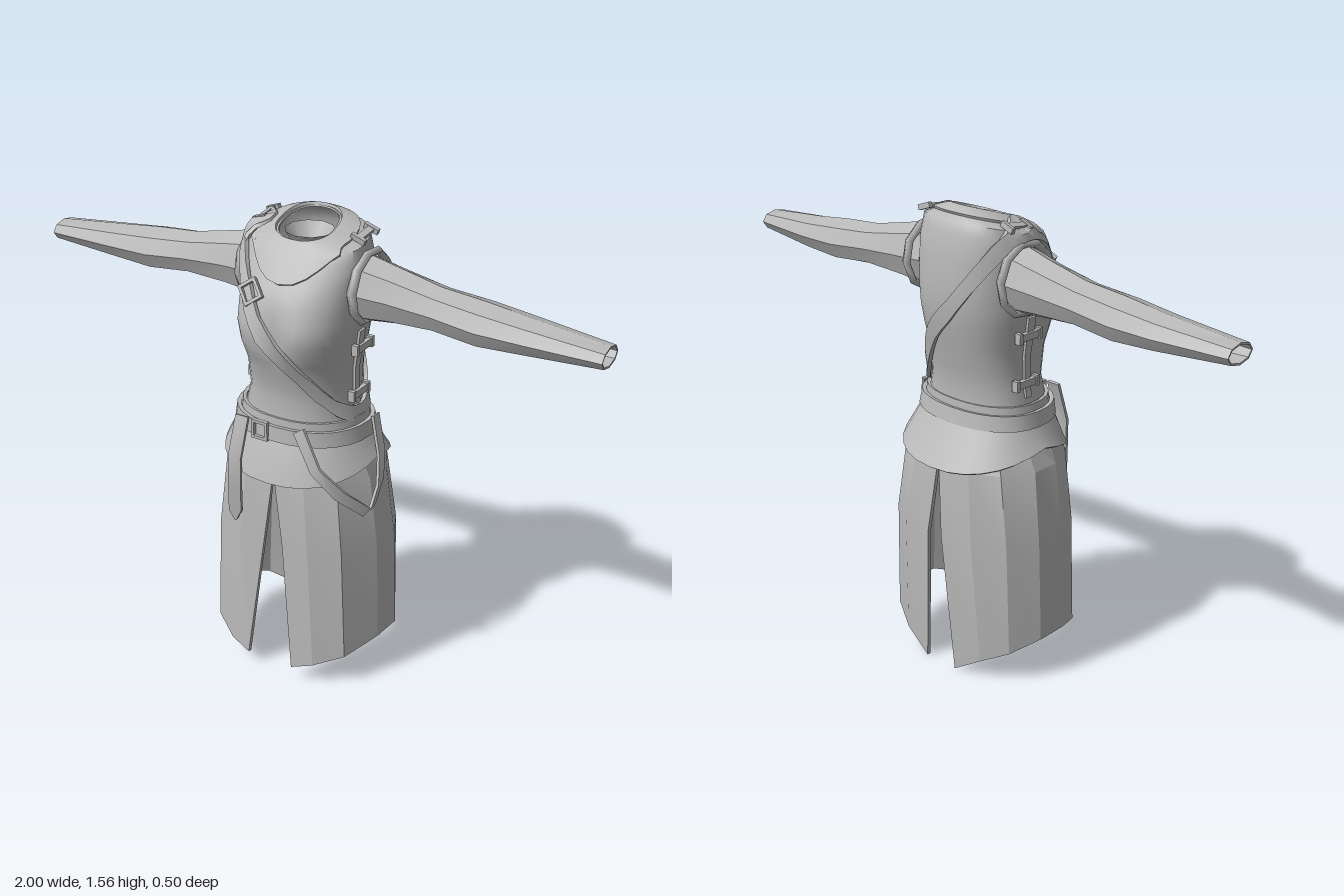
import * as THREE from 'three';
import { toCreasedNormals } from 'three/addons/utils/BufferGeometryUtils.js';

const cloth = new THREE.MeshStandardMaterial({ color: 0xb8b8b8, side: THREE.DoubleSide });
cloth.name = 'grey cloth';
const V = (x, y, z) => new THREE.Vector3(x, y, z);
const TAU = Math.PI * 2;
const spow = (v, p) => Math.sign(v) * Math.abs(v) ** p;

// Thick sheet over a grid of points: grid[i] is a column, closed joins the last column to the first
function shell(grid, thick, closed = false, crease = 0.6) {
  const n = grid.length, m = grid[0].length, pos = [], inner = [], idx = [];
  const col = i => closed ? (i + n) % n : Math.min(Math.max(i, 0), n - 1);
  const row = j => Math.min(Math.max(j, 0), m - 1);
  for (let i = 0; i < n; i++) for (let j = 0; j < m; j++) {
    const p = grid[i][j];
    const du = grid[col(i + 1)][j].clone().sub(grid[col(i - 1)][j]);
    const dv = grid[i][row(j + 1)].clone().sub(grid[i][row(j - 1)]);
    pos.push(...p);
    inner.push(...p.clone().addScaledVector(dv.cross(du).normalize(), -thick));
  }
  const k = (i, j) => col(i) * m + j, N = n * m;
  const quad = (a, b, c, d) => idx.push(a, b, c, a, c, d);
  const cols = closed ? n : n - 1;
  for (let i = 0; i < cols; i++) {
    for (let j = 0; j < m - 1; j++) {
      const a = k(i, j), b = k(i + 1, j), c = k(i + 1, j + 1), d = k(i, j + 1);
      quad(a, d, c, b);
      quad(a + N, b + N, c + N, d + N);
    }
    const a = k(i, 0), b = k(i + 1, 0), d = k(i, m - 1), c = k(i + 1, m - 1);
    quad(a, b, b + N, a + N);
    quad(d, d + N, c + N, c);
  }
  if (!closed) for (let j = 0; j < m - 1; j++) {
    const a = k(0, j), d = k(0, j + 1), b = k(n - 1, j), c = k(n - 1, j + 1);
    quad(a, a + N, d + N, d);
    quad(b, c, c + N, b + N);
  }
  const g = new THREE.BufferGeometry();
  g.setAttribute('position', new THREE.Float32BufferAttribute(pos.concat(inner), 3));
  g.setIndex(idx);
  return toCreasedNormals(g, crease);
}
const mirror = grid => grid.map(c => c.map(p => V(-p.x, p.y, p.z))).reverse();

// Torso sections: y, half width, front z, back z, tilt of the section
const RINGS = [
  [0.86, 0.205, 0.18, -0.15, 0], [0.93, 0.195, 0.175, -0.14, 0], [1.0, 0.178, 0.165, -0.14, 0],
  [1.1, 0.178, 0.185, -0.16, 0], [1.18, 0.19, 0.222, -0.178, 0], [1.24, 0.198, 0.232, -0.188, 0],
  [1.3, 0.2, 0.212, -0.192, 0], [1.36, 0.202, 0.182, -0.19, 0], [1.44, 0.205, 0.135, -0.18, 0.1],
  [1.5, 0.195, 0.095, -0.16, 0.2], [1.515, 0.145, 0.085, -0.13, 0.28], [1.53, 0.09, 0.075, -0.1, 0.33]];
const TOP = 1.53;
function torsoPoint(t, y, valley = true) {
  let i = 0;
  while (i < RINGS.length - 2 && y > RINGS[i + 1][0]) i++;
  const a = RINGS[i], b = RINGS[i + 1], f = (y - a[0]) / (b[0] - a[0]);
  const [, hx, zf, zb, tilt] = a.map((v, q) => v + (b[q] - v) * f);
  const s = Math.sin(t), x = hx * spow(Math.cos(t), 0.85);
  let z = spow(Math.abs(s), 0.85) * (s > 0 ? zf : zb);
  if (valley && s > 0) z -= 0.035 * Math.exp(-((x / 0.045) ** 2) - ((y - 1.23) / 0.07) ** 2);
  return V(x, y - tilt * z, z);
}
// Point lifted off the torso along its normal
function onTorso(t, y, lift) {
  y = Math.min(y, TOP - 0.002);
  const p = torsoPoint(t, y, false);
  const du = torsoPoint(t + 0.02, y, false).sub(torsoPoint(t - 0.02, y, false));
  const dv = torsoPoint(t, y + 0.002, false).sub(torsoPoint(t, y - 0.002, false));
  return p.addScaledVector(dv.cross(du).normalize(), lift);
}
const around = (n, fn) => Array.from({ length: n }, (_, i) => fn(i / n * TAU));
// Hip bands from sections of y, half width, front z, back z and droop towards front and back
const hoop = rows => around(28, t => rows.map(([y, hx, zf, zb, droop = 0]) => {
  const s = Math.sin(t);
  return V(hx * spow(Math.cos(t), 0.9), y - droop * Math.abs(s), spow(Math.abs(s), 0.9) * (s > 0 ? zf : zb));
}));

// Skirt columns from front slit to back slit as x, z pairs, for four heights
const SKIRT = [
  [0, .185, .09, .18, .17, .14, .215, .05, .215, -.05, .17, -.12, .09, -.15, 0, -.16],
  [.003, .207, .11, .202, .21, .16, .268, .05, .27, -.05, .215, -.15, .12, -.2, .003, -.215],
  [.035, .212, .13, .21, .235, .17, .298, .05, .3, -.06, .25, -.16, .15, -.22, .03, -.235],
  [.085, .24, .16, .225, .25, .17, .308, .05, .313, -.06, .26, -.155, .17, -.2, .065, -.212]];
const HEM = [0.06, 0.085, 0.12, 0.157, 0.157, 0.12, 0.075, 0.01];
const skirtGrid = HEM.map((hem, c) => SKIRT.map((r, j) => V(r[2 * c], [0.86, 0.74, 0.5, hem][j], r[2 * c + 1])));

// Sleeve sections: x, top y, bottom y, front z, back z
const SLEEVE = [
  [0.17, 1.475, 1.245, 0.065, -0.125], [0.3, 1.443, 1.258, 0.045, -0.118], [0.45, 1.41, 1.268, 0.04, -0.115],
  [0.6, 1.397, 1.255, 0.05, -0.123], [0.75, 1.378, 1.265, 0.042, -0.115], [1.0, 1.352, 1.285, 0.032, -0.085]];
const sleeveGrid = around(8, a => SLEEVE.map(([x, yt, yb, zf, zb]) =>
  V(x, (yt + yb) / 2 + (yt - yb) / 2 * Math.cos(a), (zf + zb) / 2 - (zf - zb) / 2 * Math.sin(a))));

// Flat strap along points, each with its own half-width vector
const ribbon = (pts, widths) => shell(
  pts.map((p, i) => [V(...p).sub(V(...widths[i])), V(...p).add(V(...widths[i]))]), 0.01);

function buckleGeometry(w, h) {
  const rect = (S, a, b) => new S([V(-a, -b), V(a, -b), V(a, b), V(-a, b)].map(p => new THREE.Vector2(p.x, p.y)));
  const shape = rect(THREE.Shape, w / 2, h / 2);
  shape.holes.push(rect(THREE.Path, w / 2 - 0.01, h / 2 - 0.01));
  return new THREE.ExtrudeGeometry(shape, { depth: 0.014, bevelEnabled: false });
}

export function createModel() {
  const group = new THREE.Group();
  const add = (name, geo, x = 0, y = 0, z = 0, parent = group) => {
    const mesh = new THREE.Mesh(geo, cloth);
    mesh.name = name;
    mesh.position.set(x, y, z);
    parent.add(mesh);
    return mesh;
  };

  // Bodice, neck lining and pointed collar
  const ys = [0.86, 0.93, 1, 1.05, 1.1, 1.14, 1.18, 1.21, 1.24, 1.27, 1.3, 1.33, 1.36, 1.4, 1.44, 1.47, 1.5, 1.515, TOP];
  add('bodice', shell(around(36, t => ys.map(y => torsoPoint(t, y))), 0.006, true, 0.9));
  add('neckLining', new THREE.CylinderGeometry(0.08, 0.01, 0.11, 10, 1, true), 0, 1.46, -0.012);
  add('collar', shell(around(36, t => {
    const low = 1.511 - 0.118 * Math.max(0, Math.sin(t)) ** 5;
    return [0, 0.33, 0.67, 1].map(f => onTorso(t, low + (TOP - low) * f, 0.009));
  }), 0.01, true, 0.8));

  // Strap across the chest and back, with its buckle
  add('shoulderStrap', shell(around(48, t => {
    const y = 1.225 - 0.275 * Math.cos(t), h = 0.022 + 0.014 * Math.abs(Math.sin(t));
    return [-h, 0, h].map(d => onTorso(t, y + d, 0.018));
  }), 0.014, true, 0.8));
  const chestBuckle = add('chestBuckle', buckleGeometry(0.07, 0.065), -0.085, 1.355, 0.185);
  chestBuckle.rotation.set(-0.45, 0, -0.9);

  // Waistband, belt, buckle and flared peplum
  add('waistband', shell(hoop([[0.875, 0.222, 0.188, -0.15], [0.945, 0.212, 0.182, -0.145]]), 0.012, true));
  add('belt', shell(hoop([[0.872, 0.238, 0.204, -0.17], [0.922, 0.23, 0.2, -0.16]]), 0.014, true));
  add('beltBuckle', buckleGeometry(0.06, 0.065), -0.05, 0.9, 0.196);
  add('peplum', shell(hoop([[0.81, 0.27, 0.245, -0.25, 0.07], [0.845, 0.245, 0.218, -0.195, 0.02],
    [0.89, 0.222, 0.188, -0.155]]), 0.012, true));
  add('beltTail', ribbon(
    [[-0.115, 0.935, 0.21], [-0.12, 0.8, 0.25], [-0.13, 0.68, 0.238], [-0.137, 0.59, 0.228], [-0.14, 0.55, 0.222]],
    [[-0.024, 0, 0], [-0.024, 0, 0], [-0.024, 0, 0], [-0.024, -0.004, 0], [-0.003, 0, 0]]));
  add('frontHanger', ribbon(
    [[0.09, 0.93, 0.2], [0.17, 0.82, 0.228], [0.24, 0.74, 0.195], [0.295, 0.66, 0.115]],
    [[-0.018, -0.012, 0], [-0.016, -0.012, 0], [-0.014, -0.012, 0.008], [-0.006, -0.01, 0.014]]));
  add('sideHanger', ribbon(
    [[0.237, 0.93, -0.035], [0.278, 0.82, -0.005], [0.302, 0.74, 0.04], [0.298, 0.665, 0.08]],
    [[0, 0, 0.018], [0, -0.004, 0.018], [0, -0.006, 0.017], [0, -0.006, 0.016]]));

  // Paired parts on both sides
  for (const side of [1, -1]) {
    const word = side > 0 ? 'left' : 'right';
    const pick = grid => side > 0 ? grid : mirror(grid);
    add(word + 'Skirt', shell(pick(skirtGrid), 0.012, false, 0.3));
    add(word + 'Sleeve', shell(pick(sleeveGrid), 0.006, true, 0.5));

    const rim = add(word + 'ArmholeRim', new THREE.TorusGeometry(0.112, 0.014, 4, 10), side * 0.205, 1.362, -0.033);
    rim.rotation.set(0, Math.PI / 2, side * -0.1);
    rim.scale.z = 1.3;

    // Side seam with two clasps
    const seam = Array.from({ length: 7 }, (_, j) => 0.96 + j * 0.045);
    add(word + 'SideSeam', shell(pick([-0.05, 0.05].map(t => seam.map(y => onTorso(t, y, 0.008)))), 0.01));
    for (const y of [1.17, 1.01]) {
      const x = side * (torsoPoint(0, y).x + 0.01);
      add(word + 'SideClasp', new THREE.BoxGeometry(0.016, 0.024, 0.09), x, y, -0.008);
      for (const z of [-0.053, 0.037])
        add(word + 'SideClaspEnd', new THREE.BoxGeometry(0.022, 0.036, 0.014), x, y, z);
    }

    // Shoulder clasp
    const clasp = new THREE.Group();
    clasp.name = word + 'ShoulderClasp';
    clasp.position.set(side * 0.178, 1.523, -0.045);
    clasp.rotation.set(0.12, 0, side * -0.35);
    add('claspBar', new THREE.BoxGeometry(0.022, 0.014, 0.09), 0, 0, 0, clasp);
    for (const z of [-0.04, 0.04]) add('claspEnd', new THREE.BoxGeometry(0.05, 0.018, 0.014), 0, 0, z, clasp);
    group.add(clasp);
  }
  return group;
}
